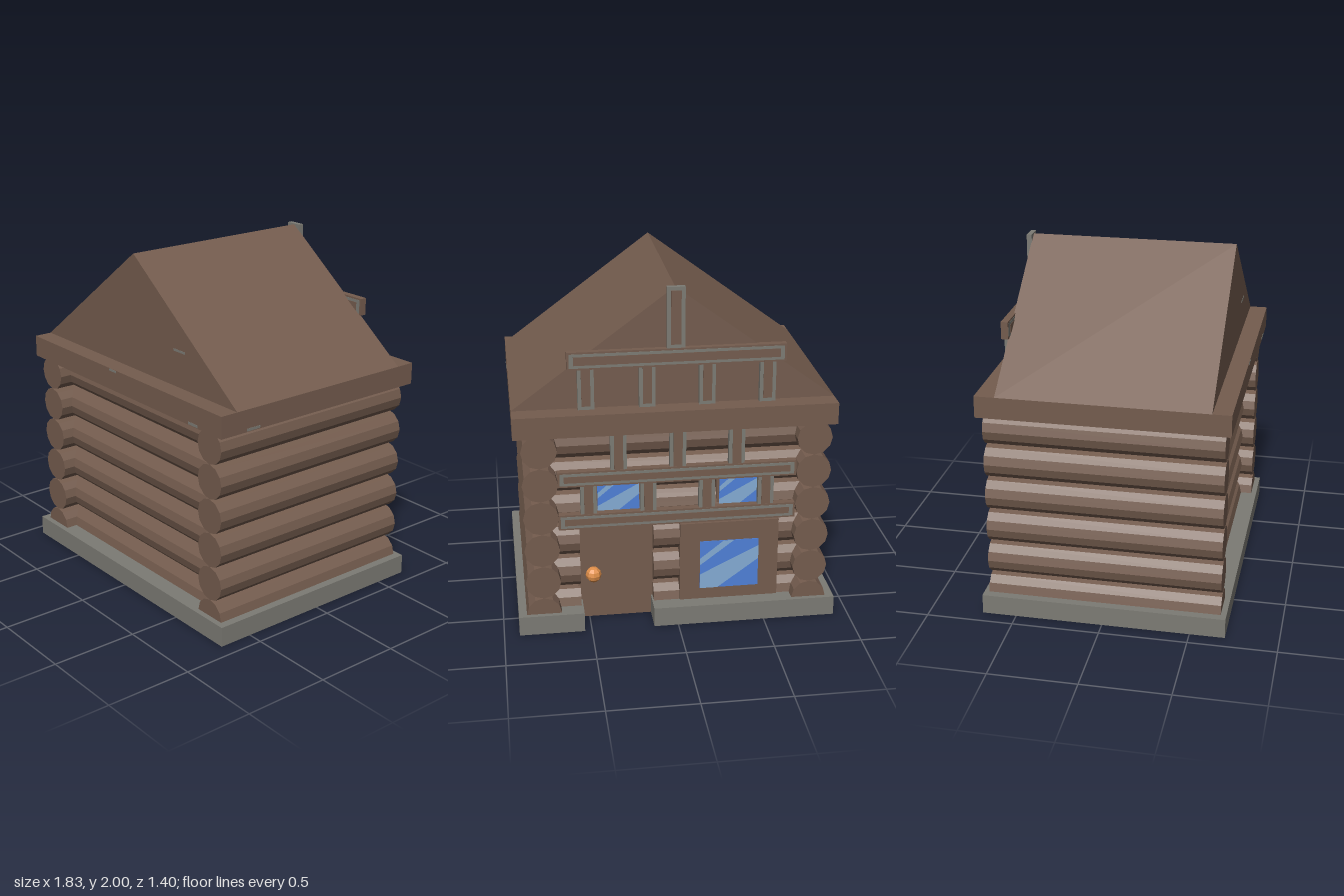
import * as THREE from 'three';

const mat = (name, color) => {
  const m = new THREE.MeshStandardMaterial({ color });
  m.name = name;
  return m;
};

export function createModel() {
  const wood = mat('brown wood', 0x745c4e);
  const stone = mat('grey stone', 0x7c7b74);
  const glassBlue = mat('glass blue', 0x4f80d8);
  const glassLight = mat('glass reflection', 0x84acd4);
  const knobOrange = mat('knob orange', 0xe08f4a);
  const tileRed = mat('tile red', 0xdc3628);
  const tileBrown = mat('tile brown', 0xcc864a);
  const grout = mat('grout navy', 0x1e1e3c);

  const model = new THREE.Group();
  model.name = 'logCabin';

  const flat = (geo) => {
    const g = geo.toNonIndexed();
    g.computeVertexNormals();
    return g;
  };
  const add = (name, geo, material, x = 0, y = 0, z = 0) => {
    const mesh = new THREE.Mesh(geo, material);
    mesh.name = name;
    mesh.position.set(x, y, z);
    model.add(mesh);
    return mesh;
  };
  // Box given by its limits on each axis
  const box = (name, material, x0, x1, y0, y1, z0, z1) =>
    add(name, new THREE.BoxGeometry(x1 - x0, y1 - y0, z1 - z0), material,
      (x0 + x1) / 2, (y0 + y1) / 2, (z0 + z1) / 2);
  const polygon = (points) => new THREE.Shape(points.map(([x, y]) => new THREE.Vector2(x, y)));

  // Stone base: a frame around the floor, open at the door
  const base = polygon([
    [-0.915, -0.7], [0.913, -0.7], [0.913, 0.695], [0.54, 0.695], [0.54, 0.4], [0.62, 0.4],
    [0.62, -0.38], [-0.62, -0.38], [-0.62, 0.4], [0.14, 0.4], [0.14, 0.695], [-0.915, 0.695],
  ]);
  add('base', new THREE.ExtrudeGeometry(base, { depth: 0.115, bevelEnabled: false })
    .rotateX(-Math.PI / 2), stone);

  // Tiled floor, seen from underneath: cut-corner tiles on a dark ground
  box('floor', grout, -0.62, 0.62, 0.006, 0.03, -0.4, 0.38);
  const [hw, hd, cut] = [0.132, 0.11, 0.04];
  const tile = new THREE.ShapeGeometry(polygon([
    [cut - hw, -hd], [hw - cut, -hd], [hw, cut - hd], [hw, hd - cut],
    [hw - cut, hd], [cut - hw, hd], [-hw, hd - cut], [-hw, cut - hd],
  ])).rotateX(Math.PI / 2);
  ['BRRB', 'RBRB', 'BRRB'].forEach((row, j) => {
    [...row].forEach((code, i) => {
      add('floorTile', tile, code === 'R' ? tileRed : tileBrown,
        (i - 1.5) * 0.308, 0.003, -0.01 + (j - 1) * 0.26);
    });
  });

  // Log walls: side logs run past the corners, front and back logs fit between
  const log = (length) => flat(new THREE.CylinderGeometry(0.1, 0.1, length, 12));
  const sideLog = log(1.335).rotateX(Math.PI / 2);
  const crossLog = (name, x0, x1, y, z) =>
    add(name, log(x1 - x0).rotateZ(Math.PI / 2), wood, (x0 + x1) / 2, y, z);
  for (let row = 0; row < 6; row++) {
    const y = 0.115 + row * 0.2;
    for (const side of [-1, 1]) add('sideLog', sideLog, wood, side * 0.767, y, 0);
    crossLog('frontLog', -0.75, 0.75, y, 0.5);
    if (row < 3) {
      crossLog('backLog', -0.75, 0.13, y, -0.5);
      crossLog('backLog', 0.55, 0.75, y, -0.5);
    } else {
      crossLog('backLog', -0.75, 0.75, y, -0.5);
    }
  }

  // Eave slab and gabled roof
  box('eaveSlab', wood, -0.885, 0.907, 1.205, 1.33, -0.7, 0.7);
  const gable = polygon([[-0.885, 1.33], [0.907, 1.33], [0.011, 1.995]]);
  add('roof', new THREE.ExtrudeGeometry(gable, { depth: 1.18, bevelEnabled: false }),
    wood, 0, 0, -0.585);

  // Worn grey flecks on the eave and gable
  box('fleck', stone, -0.1, -0.03, 1.316, 1.328, 0.698, 0.702);
  box('fleck', stone, 0.63, 0.71, 1.209, 1.224, 0.698, 0.702);
  box('fleck', stone, 0.37, 0.47, 1.53, 1.543, 0.593, 0.597);
  box('fleck', stone, 0.905, 0.909, 1.209, 1.224, 0.44, 0.53);

  // Door and round faceted knob
  box('door', wood, 0.12, 0.56, 0, 0.64, -0.53, -0.4);
  add('doorKnob', flat(new THREE.SphereGeometry(0.046, 8, 6)), knobOrange, 0.475, 0.29, -0.56);

  // Window on the back wall: frame block, pane and slanted reflections
  const windowUnit = (x, y, w, h, border, z) => {
    box('windowFrame', wood, x - w / 2 - border, x + w / 2 + border,
      y - h / 2 - border, y + h / 2 + border, z, -0.48);
    box('windowPane', glassBlue, x - w / 2, x + w / 2, y - h / 2, y + h / 2, z - 0.004, z + 0.004);
    const bands = [
      [[-0.5, -0.2], [-0.5, -0.5], [-0.2, -0.5], [0.5, 0.08], [0.5, 0.36]],
      [[-0.5, 0.14], [-0.5, 0.0], [0.08, 0.5], [-0.1, 0.5]],
    ];
    for (const band of bands) {
      const shape = polygon(band.map(([u, v]) => [u * w, v * h]));
      add('paneReflection', new THREE.ShapeGeometry(shape), glassLight, x, y, z - 0.0065)
        .rotation.y = Math.PI;
    }
  };
  windowUnit(-0.305, 0.335, 0.34, 0.3, 0.115, -0.61);
  for (const x of [-0.36, 0.33]) windowUnit(x, 0.79, 0.235, 0.23, 0.015, -0.598);

  // Balcony posts: grey with a brown inset on the outer face
  const post = (x, y0, y1, z) => {
    box('baluster', stone, x - 0.045, x + 0.045, y0, y1, z - 0.016, z + 0.018);
    box('balusterInset', wood, x - 0.025, x + 0.025, y0 + 0.02, y1 - 0.02, z - 0.019, z - 0.015);
  };
  // Balcony rails: brown, with a grey outlined panel on both faces
  const rail = (half, y0, y1, z) => {
    box('rail', wood, -half, half, y0, y1, z - 0.018, z + 0.022);
    for (const face of [z - 0.018, z + 0.022]) {
      box('railOutline', stone, -half + 0.012, half - 0.012, y0 + 0.01, y1 - 0.01,
        face - 0.002, face + 0.002);
      box('railPanel', wood, -half + 0.035, half - 0.035, y0 + 0.026, y1 - 0.026,
        face - 0.004, face + 0.004);
    }
  };
  rail(0.6, 1.56, 1.66, -0.6);
  rail(0.67, 0.89, 0.98, -0.635);
  rail(0.67, 0.63, 0.72, -0.635);
  for (const x of [-0.5, -0.165, 0.165, 0.5]) {
    post(x, 1.33, 1.6, -0.6);
    post(x, 0.66, 0.92, -0.632);
  }
  for (const x of [-0.33, 0, 0.33]) post(x, 0.92, 1.21, -0.632);

  // Ridge post against the back gable
  box('ridgePost', stone, -0.042, 0.058, 1.6, 2, -0.612, -0.582);
  box('ridgePostInset', wood, -0.02, 0.036, 1.68, 1.98, -0.616, -0.61);

  return model;
}
